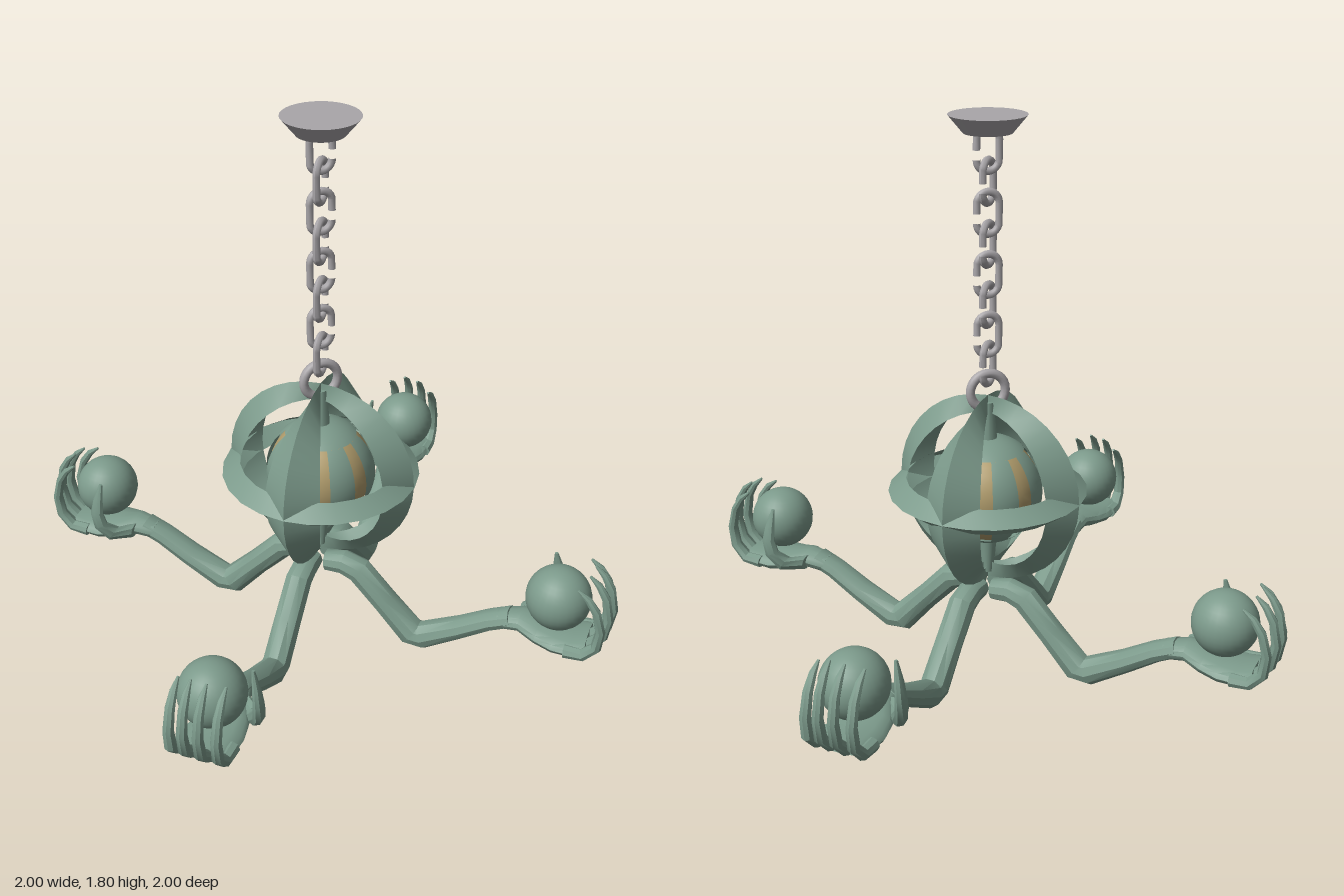
import * as THREE from 'three';
import { toCreasedNormals } from 'three/addons/utils/BufferGeometryUtils.js';

const mat = (name, color, extra = {}) => {
  const m = new THREE.MeshStandardMaterial({ color, ...extra });
  m.name = name;
  return m;
};

// Triangulated grid from rows of points; the rows may wrap round.
function grid(rows, wrap) {
  const n = rows[0].length, idx = [];
  for (let i = 0; i < rows.length - 1; i++) {
    for (let j = 0; j < (wrap ? n : n - 1); j++) {
      const a = i * n + j, b = i * n + (j + 1) % n, c = a + n, d = b + n;
      idx.push(a, b, c, b, d, c);
    }
  }
  const g = new THREE.BufferGeometry();
  g.setAttribute('position', new THREE.Float32BufferAttribute(rows.flat(2), 3));
  g.setIndex(idx);
  return toCreasedNormals(g, 0.6);
}

// Limb swept along points [x, y, z, half width, half thickness].
function limb(points, sides = 10) {
  const rows = [];
  points.forEach((p, i) => {
    const a = points[Math.max(i - 1, 0)], b = points[Math.min(i + 1, points.length - 1)];
    const len = Math.hypot(b[0] - a[0], b[1] - a[1]);
    const tx = (b[0] - a[0]) / len, ty = (b[1] - a[1]) / len;
    const ring = (s) => Array.from({ length: sides }, (_, j) => {
      const t = (j / sides) * Math.PI * 2;
      const w = Math.cos(t) * p[3] * s, h = -Math.sin(t) * p[4] * s;
      return [p[0] - ty * h, p[1] + tx * h, p[2] + w];
    });
    if (i === 0) rows.push(ring(0.02));
    rows.push(ring(1));
    if (i === points.length - 1) rows.push(ring(0.02));
  });
  return grid(rows, true);
}

export function createModel() {
  const green = mat('verdigris', 0x7c9a8b);
  const sheet = mat('verdigris sheet', 0x7c9a8b, { side: THREE.DoubleSide });
  const tan = mat('amber glass', 0xb09c6c);
  const steel = mat('grey metal', 0xa9a6a9);
  const root = new THREE.Group();
  root.name = 'chandelier';
  const add = (parent, name, geo, material, x = 0, y = 0, z = 0) => {
    const m = new THREE.Mesh(geo, material);
    m.name = name;
    m.position.set(x, y, z);
    parent.add(m);
    return m;
  };

  // Ceiling plate and chain
  add(root, 'ceilingPlate', new THREE.CylinderGeometry(0.12, 0.075, 0.054, 32), steel, 0, 1.787);
  const link = new THREE.TorusGeometry(0.036, 0.012, 8, 24);
  const lp = link.attributes.position;
  for (let i = 0; i < lp.count; i++) lp.setY(i, lp.getY(i) + Math.sign(lp.getY(i)) * 0.029);
  link.computeVertexNormals();
  for (let i = 0; i < 8; i++) {
    const m = add(root, 'chainLink', link, steel, 0, 1.71 - i * 0.0957);
    m.rotation.y = i % 2 ? Math.PI / 2 : Math.PI / 4;
  }
  add(root, 'hangingRing', new THREE.TorusGeometry(0.058, 0.015, 10, 28), steel, 0, 0.95)
    .rotation.y = Math.PI / 4;

  // Cage: four ridged ribs and a ridged equator band
  const cage = new THREE.Group();
  cage.name = 'cage';
  cage.position.y = 0.618;
  root.add(cage);
  const ribRows = [];
  for (let i = 0; i <= 18; i++) {
    const lat = Math.PI * (i / 18 - 0.5);
    ribRows.push([[-0.36, 0.262], [0, 0.318], [0.36, 0.262]].map(([lon, r]) => [
      r * Math.cos(lat) * Math.sin(lon), r * Math.sin(lat), r * Math.cos(lat) * Math.cos(lon)]));
  }
  const rib = grid(ribRows, false);
  for (let k = 0; k < 4; k++) add(cage, 'rib', rib, sheet).rotation.y = k * Math.PI / 2;
  const band = new THREE.LatheGeometry(
    [[0.262, -0.042], [0.32, 0], [0.262, 0.042]].map(([r, y]) => new THREE.Vector2(r, y)), 24);
  add(cage, 'equatorBand', toCreasedNormals(band, 0.6), sheet);

  // Lantern: glass globe behind eight staves and two caps
  add(cage, 'lanternGlass', new THREE.SphereGeometry(0.168, 32, 20), tan);
  const capAngle = 0.7;
  for (let k = 0; k < 8; k++) {
    const half = 0.245;
    const stave = new THREE.SphereGeometry(0.178, 6, 12, k * Math.PI / 4 - half, 2 * half,
      capAngle, Math.PI - 2 * capAngle);
    add(cage, 'lanternStave', stave, sheet);
  }
  const cap = new THREE.SphereGeometry(0.178, 32, 8, 0, Math.PI * 2, 0, capAngle);
  add(cage, 'lanternTop', cap, sheet);
  add(cage, 'lanternBottom', cap, sheet).rotation.x = Math.PI;
  add(cage, 'upperPin', new THREE.CylinderGeometry(0.018, 0.03, 0.13, 12), green, 0, 0.23);
  add(cage, 'lowerPin', new THREE.CylinderGeometry(0.03, 0.018, 0.13, 12), green, 0, -0.23);

  // Arm, hand and ball, built along +x and repeated round the axis
  const armGeo = limb([
    [0.03, 0.27, 0.02, 0.038, 0.035], [0.09, 0.277, 0.02, 0.043, 0.04],
    [0.145, 0.26, 0.022, 0.045, 0.045], [0.24, 0.16, 0.024, 0.046, 0.043],
    [0.335, 0.058, 0.025, 0.047, 0.05], [0.375, 0.055, 0.025, 0.047, 0.046],
    [0.5, 0.122, 0.022, 0.046, 0.037], [0.6, 0.182, 0.02, 0.044, 0.033],
    [0.67, 0.213, 0.018, 0.045, 0.031]]);
  const palmGeo = limb([
    [0.63, 0.198, 0.018, 0.042, 0.03], [0.7, 0.212, 0.014, 0.055, 0.032],
    [0.76, 0.197, 0.012, 0.08, 0.033], [0.82, 0.188, 0.015, 0.092, 0.034],
    [0.88, 0.188, 0.018, 0.092, 0.03], [0.925, 0.2, 0.018, 0.085, 0.02]], 14);
  const thumbGeo = limb([
    [0.69, 0.21, -0.03, 0.03, 0.026], [0.745, 0.215, -0.08, 0.028, 0.028],
    [0.778, 0.26, -0.108, 0.02, 0.026], [0.788, 0.31, -0.112, 0.016, 0.024],
    [0.783, 0.36, -0.105, 0.013, 0.018], [0.775, 0.42, -0.092, 0.005, 0.006]], 8);
  // Each finger: base side offset, tip side offset, reach, height change
  const fingerGeos = [[-0.058, -0.062, -0.022, -0.01], [-0.006, -0.012, 0, 0.005],
    [0.045, 0.04, -0.006, 0], [0.092, 0.092, -0.03, -0.025]].map(([b, t, du, dy]) =>
    limb([[0.86, 0.188, 0, 0.024, 0.022], [0.925, 0.195, 0.2, 0.023, 0.02],
      [0.97, 0.24, 0.4, 0.02, 0.018], [0.984, 0.31, 0.6, 0.018, 0.016],
      [0.971, 0.385, 0.8, 0.016, 0.014], [0.945, 0.43, 0.9, 0.012, 0.011],
      [0.915, 0.458, 1, 0.004, 0.004]].map(([u, y, f, w, h]) =>
      [u + du * f, y + dy * f, b + (t - b) * f, w, h]), 8));
  const ballGeo = new THREE.SphereGeometry(0.105, 28, 18);
  for (let k = 0; k < 4; k++) {
    const arm = new THREE.Group();
    arm.name = 'arm';
    arm.rotation.y = -k * Math.PI / 2;
    root.add(arm);
    add(arm, 'forearm', armGeo, green);
    add(arm, 'palm', palmGeo, green);
    add(arm, 'thumb', thumbGeo, green);
    fingerGeos.forEach((g) => add(arm, 'finger', g, green));
    add(arm, 'ball', ballGeo, green, 0.815, 0.338, 0.022);
  }
  root.position.z = -0.006;
  return root;
}
